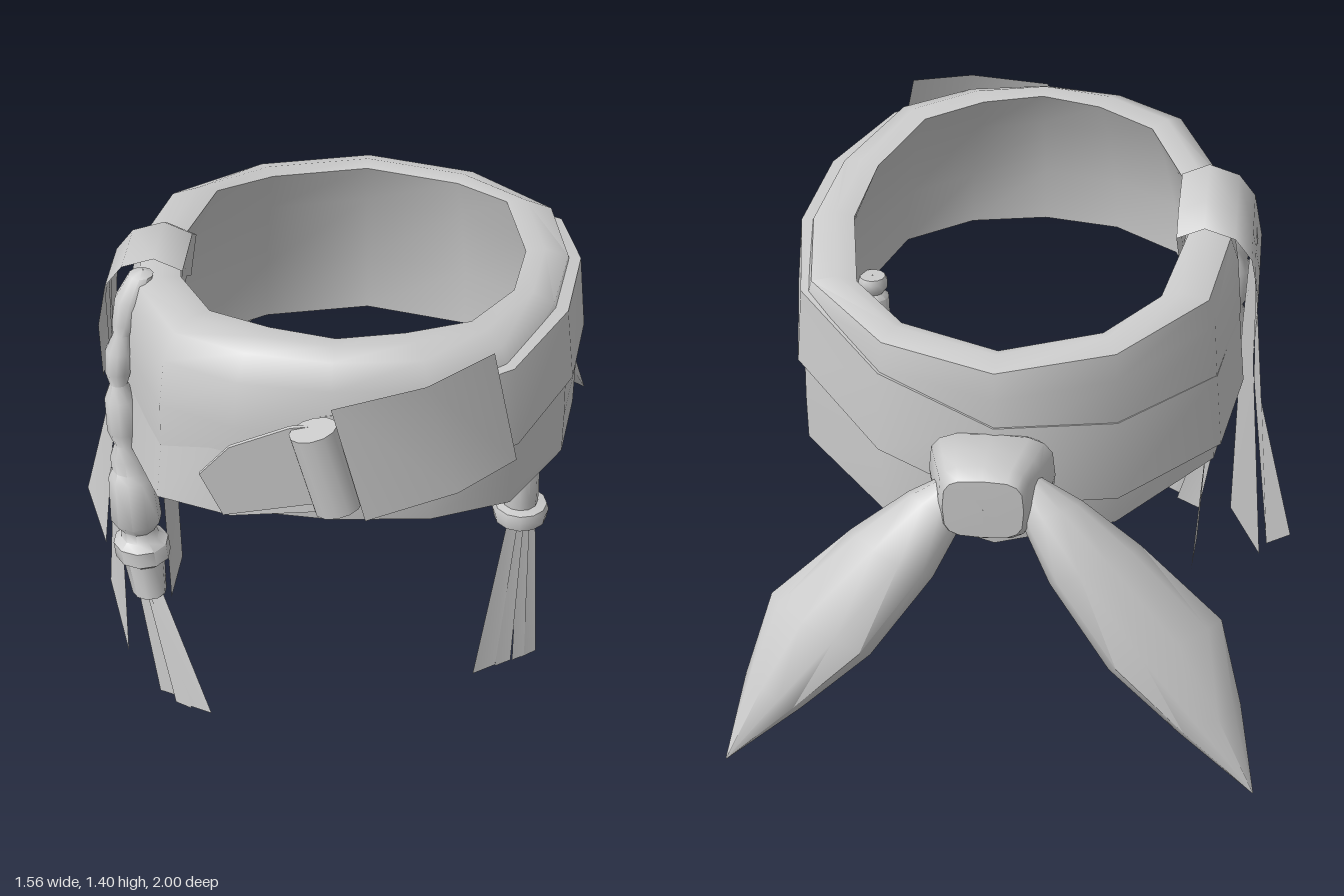
import * as THREE from 'three';
import { toCreasedNormals } from 'three/addons/utils/BufferGeometryUtils.js';

const mat = new THREE.MeshStandardMaterial({ color: 0xcccccc, side: THREE.DoubleSide });
const V = (x, y, z) => new THREE.Vector3(x, y, z);
const lerp = THREE.MathUtils.lerp;

// Skin a grid of points; rows and columns may wrap around
function loft(rows, wrapRows = false, wrapCols = false) {
  const R = rows.length, C = rows[0].length, index = [];
  for (let r = 0; r < (wrapRows ? R : R - 1); r++) {
    for (let c = 0; c < (wrapCols ? C : C - 1); c++) {
      const r2 = (r + 1) % R, c2 = (c + 1) % C;
      const a = r * C + c, b = r2 * C + c, e = r2 * C + c2, d = r * C + c2;
      index.push(a, b, e, a, e, d);
    }
  }
  const g = new THREE.BufferGeometry().setFromPoints(rows.flat());
  g.setIndex(index);
  return toCreasedNormals(g, 0.9);
}

// Plan of the band: half outlines [x, z] from front to back
const CX = 0.055;
const ring = half => [
  ...half.map(([x, z]) => [CX + x, z]),
  ...half.slice(1, -1).reverse().map(([x, z]) => [CX - x, z])
];
const outer = ring([[0, 0.88], [0.26, 0.85], [0.47, 0.73], [0.61, 0.4], [0.645, 0.07], [0.59, -0.25], [0.33, -0.53], [0, -0.64]]);
const inner = ring([[0, 0.73], [0.18, 0.68], [0.35, 0.58], [0.46, 0.34], [0.49, 0.07], [0.43, -0.26], [0.28, -0.42], [0, -0.52]]);
const plan = (i, k, y) => V(lerp(outer[i][0], inner[i][0], k), y, lerp(outer[i][1], inner[i][1], k));

// Round-section strand along a downward list of [x, y, z, radius]
const strand = (points, sides = 10) => loft(points.map(([x, y, z, r]) => Array.from({ length: sides }, (_, i) => {
  const a = i / sides * Math.PI * 2;
  return V(x + r * Math.sin(a), y, z + r * Math.cos(a));
})), false, true);

// Flat strip between two edges
const strip = (edgeA, edgeB) => loft(edgeA.map((p, i) => [V(...p), V(...edgeB[i])]));

// Leaf-shaped cloth end, from root to tip
function leaf() {
  const d = V(0.62, -0.79, -0.25).normalize(), w = V(0.3, 0.05, 0.21).normalize();
  const n = d.clone().cross(w).normalize();
  const stations = [
    [0.08, 0.93, -0.74, 0.04, 0.04], [0.16, 0.85, -0.77, 0.09, 0.07], [0.28, 0.71, -0.80, 0.14, 0.095],
    [0.48, 0.49, -0.85, 0.18, 0.09], [0.61, 0.30, -0.92, 0.1, 0.06], [0.74, 0.11, -1.0, 0.002, 0.002]
  ];
  return loft(stations.map(([x, y, z, hw, ht]) => Array.from({ length: 10 }, (_, i) => {
    const a = i / 10 * Math.PI * 2;
    return V(x, y, z).addScaledVector(w, Math.sin(a) * hw).addScaledVector(n, Math.cos(a) * ht);
  })), false, true);
}

export function createModel() {
  const model = new THREE.Group();
  const add = (name, geo, parent = model) => {
    const m = new THREE.Mesh(geo, mat);
    m.name = name;
    parent.add(m);
    return m;
  };

  // Headband: [inward share, height share] section, rounder at the front than at the back
  const section = [[0.32, 0], [-0.03, 0], [-0.04, 0.25], [-0.02, 0.55], [0.09, 0.82], [0.33, 0.96], [0.65, 1], [1, 0.98], [0.7, 0.75], [0.38, 0.35]];
  add('headband', loft(outer.map(([, z], i) => {
    const low = 0.765 + 0.175 * z, high = 1.29 + 0.085 * z + 0.05 * z * Math.abs(z), roll = 0.35 + 0.43 * (z + 0.64);
    return section.map(([k, t]) => plan(i, t > 0.8 && t < 0.97 ? k * roll : k, lerp(low, high, t)));
  }), true, true));

  // Tilted strap around the band
  const strapLow = [0.96, 1.05, 1.1, 1.09, 1.05, 0.98, 0.88, 0.79, 0.76, 0.77, 0.80, 0.83, 0.87, 0.91];
  const strapHigh = [1.25, 1.3, 1.32, 1.3, 1.27, 1.21, 1.12, 1.03, 1.0, 1.0, 1.03, 1.06, 1.11, 1.19];
  add('strap', loft(outer.map(([, z], i) => [
    plan(i, 0.15, strapLow[i]), plan(i, -0.15, strapLow[i]),
    plan(i, -0.05 + 0.05 * (z + 0.64), strapHigh[i]), plan(i, 0.25, strapHigh[i])
  ]), true, true));

  // Front fastening: plate, loop and strap end
  add('frontPlate', strip(
    [[0.06, 1.33, 0.965], [0.3, 1.375, 0.91], [0.47, 1.405, 0.785]],
    [[0.15, 0.98, 0.965], [0.39, 1.03, 0.89], [0.54, 1.06, 0.77]]
  ));
  const loop = add('frontLoop', new THREE.CylinderGeometry(0.065, 0.065, 0.25, 12));
  loop.position.set(0.045, 1.13, 0.945);
  loop.rotation.z = 0.27;
  loop.scale.z = 0.85;
  const endShape = new THREE.Shape([[-0.29, 1.08], [-0.23, 0.95], [0.06, 1.01], [0.02, 1.25], [-0.05, 1.24], [-0.21, 1.17]]
    .map(p => new THREE.Vector2(...p)));
  const end = add('strapEnd', new THREE.ExtrudeGeometry(endShape, { depth: 0.012, bevelEnabled: false }));
  end.position.z = 0.915;

  // Knot and two cloth ends at the back
  const squash = v => Math.sign(v) * Math.pow(Math.abs(v), 0.55);
  const knotRows = [
    [-0.6, 0.89, 0.15, 0.1], [-0.64, 0.89, 0.175, 0.12], [-0.73, 0.885, 0.15, 0.13],
    [-0.82, 0.905, 0.125, 0.115], [-0.855, 0.905, 0.11, 0.09], [-0.857, 0.905, 0.001, 0.001]
  ];
  add('backKnot', loft(knotRows.map(([z, y, hw, hh]) => Array.from({ length: 16 }, (_, i) => {
    const a = i / 16 * Math.PI * 2;
    return V(0.06 - squash(Math.sin(a)) * hw, y + squash(Math.cos(a)) * hh, z);
  })), false, true));
  const ends = new THREE.Group();
  ends.name = 'clothEnds';
  ends.position.x = 0.04;
  model.add(ends);
  for (const s of [1, -1]) add(s > 0 ? 'leftClothEnd' : 'rightClothEnd', leaf(), ends).scale.x = s;

  // Cloth folded over the rim on the right
  const fold = [[-0.64, 0.98], [-0.645, 1.15], [-0.62, 1.28], [-0.57, 1.345], [-0.48, 1.375], [-0.40, 1.34], [-0.42, 1.2]];
  add('rimFold', loft([[0.04, 0.06], [0.12, 0.01], [0.34, 0]].map(([z, drop]) => fold.map(([x, y]) => V(x, y - drop, z)))));

  // Streamers: two outside the band, one inside
  add('rearStreamer', strip(
    [[-0.63, 1.22, 0.05], [-0.67, 0.75, 0.03], [-0.78, 0.31, -0.02]],
    [[-0.63, 1.25, 0.18], [-0.645, 0.75, 0.15], [-0.71, 0.19, 0.1]]
  ));
  add('frontStreamer', strip(
    [[-0.635, 1.22, 0.18], [-0.64, 0.8, 0.17], [-0.69, 0.1, 0.17]],
    [[-0.62, 1.25, 0.34], [-0.6, 0.8, 0.40], [-0.59, 0.07, 0.47]]
  ));
  add('innerStreamer', strip(
    [[-0.45, 1.22, 0.04], [-0.52, 0.76, -0.1], [-0.48, 0.11, 0.05]],
    [[-0.45, 1.22, 0.3], [-0.52, 0.8, 0.17], [-0.49, 0.1, 0.24]]
  ));

  // Beaded braid on the right, ending in three strips
  add('beadedBraid', strand([
    [-0.51, 1.34, 0.34, 0.002], [-0.515, 1.33, 0.345, 0.035], [-0.54, 1.27, 0.37, 0.048], [-0.555, 1.2, 0.385, 0.042],
    [-0.565, 1.17, 0.4, 0.028], [-0.575, 1.12, 0.41, 0.042], [-0.58, 1.06, 0.425, 0.038], [-0.58, 1.02, 0.43, 0.026],
    [-0.575, 0.98, 0.44, 0.046], [-0.57, 0.88, 0.455, 0.046], [-0.565, 0.84, 0.465, 0.032], [-0.56, 0.8, 0.47, 0.05],
    [-0.555, 0.76, 0.475, 0.05], [-0.55, 0.74, 0.48, 0.066], [-0.54, 0.6, 0.495, 0.074], [-0.535, 0.57, 0.5, 0.05],
    [-0.53, 0.545, 0.505, 0.055], [-0.528, 0.53, 0.507, 0.08], [-0.522, 0.485, 0.512, 0.08], [-0.52, 0.47, 0.515, 0.06],
    [-0.505, 0.37, 0.54, 0.05], [-0.504, 0.368, 0.54, 0.002]
  ]));
  const braidEnds = [
    [[-0.545, 0.38, 0.52], [-0.485, 0, 0.56], [-0.505, 0.38, 0.53], [-0.41, 0.01, 0.6]],
    [[-0.52, 0.38, 0.53], [-0.43, 0.01, 0.62], [-0.48, 0.38, 0.55], [-0.38, 0.015, 0.65]],
    [[-0.51, 0.38, 0.54], [-0.40, 0.015, 0.635], [-0.465, 0.38, 0.56], [-0.315, 0.035, 0.69]]
  ];
  braidEnds.forEach(([a, a2, b, b2]) => add('braidStrip', strip([a, a2], [b, b2])));

  // Beaded tassel on the left with four strips
  add('tasselBead', strand([
    [0.56, 0.9, 0.42, 0.002], [0.56, 0.9, 0.42, 0.04], [0.56, 0.885, 0.42, 0.047], [0.56, 0.86, 0.42, 0.045],
    [0.56, 0.845, 0.42, 0.034], [0.56, 0.83, 0.42, 0.05], [0.56, 0.69, 0.42, 0.052], [0.56, 0.665, 0.42, 0.05],
    [0.562, 0.66, 0.42, 0.075], [0.562, 0.64, 0.42, 0.081], [0.562, 0.61, 0.42, 0.075], [0.562, 0.6, 0.42, 0.045], [0.562, 0.595, 0.42, 0.002]
  ], 12));
  const tassel = [[0.445, 0.51, 0.53, 0.49], [0.51, 0.555, 0.49, 0.465], [0.56, 0.595, 0.46, 0.44], [0.585, 0.63, 0.445, 0.415]];
  tassel.forEach(([x1, x2, z1, z2], i) => {
    const x = 0.53 + i * 0.015, z = 0.435 - i * 0.008;
    add('tasselStrip', strip([[x, 0.62, z], [x1, 0.1, z1]], [[x + 0.03, 0.62, z - 0.01], [x2, 0.105, z2]]));
  });
  return model;
}
